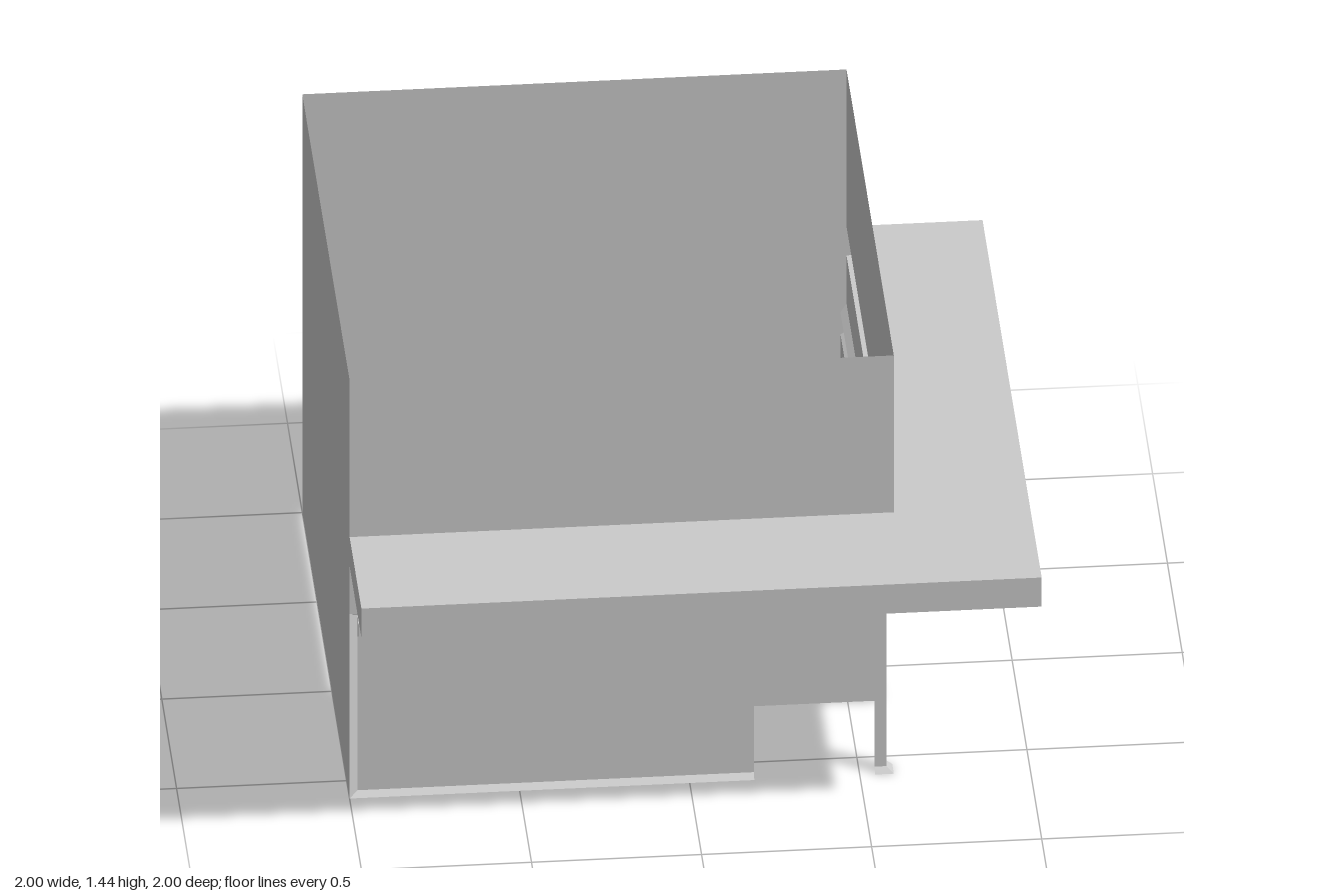
import * as THREE from 'three';

const material = new THREE.MeshStandardMaterial({ color: 0xcccccc, side: THREE.DoubleSide });

// A flat four-cornered sheet; corners are [along, height, outward].
function sheet(group, name, corners, swap) {
  let pts = corners.map(([u, y, w]) => (swap ? [w, y, u] : [u, y, w]));
  if (swap) pts = pts.reverse(); // keep the outside facing out
  const geo = new THREE.BufferGeometry();
  geo.setAttribute('position', new THREE.Float32BufferAttribute(pts.flat(), 3));
  geo.setIndex([0, 1, 2, 0, 2, 3]);
  geo.computeVertexNormals();
  const mesh = new THREE.Mesh(geo, material);
  mesh.name = name;
  group.add(mesh);
}

// One street side of the corner shop; swapping x and z gives the other one.
function buildWing(swap) {
  const wing = new THREE.Group();
  wing.name = swap ? 'leftWing' : 'frontWing';
  const add = (name, ...corners) => sheet(wing, name, corners, swap);
  const upright = (name, u0, u1, y0, y1, w) =>
    add(name, [u0, y0, w], [u1, y0, w], [u1, y1, w], [u0, y1, w]);

  const end = -1, wall = 0.6, inner = 0.58, edge = -0.975;
  const door = 0.19, post = 0.545, head = 0.545, top = 0.62, lintel = 0.635, sill = 0.015;

  // Outer walls, open at the canopy
  upright('upperWall', end, wall, 0.9, 1.44, wall);
  upright('lintelWall', end, wall, lintel, 0.8, wall);
  add('rearWall', [wall, 0, -1], [end, 0, -1], [end, 1.44, -1], [wall, 1.44, -1]);

  // Hollow canopy, mitred at the street corner
  add('canopyTop', [end, 0.9, wall], [end, 0.9, 1], [1, 0.9, 1], [wall, 0.9, wall]);
  add('canopySoffit', [wall, 0.8, wall], [1, 0.8, 1], [end, 0.8, 1], [end, 0.8, wall]);
  upright('canopyFascia', end, 1, 0.8, 0.9, 1);
  add('canopyEnd', [end, 0.8, wall], [end, 0.8, 1], [end, 0.9, 1], [end, 0.9, wall]);

  // Bevelled frame around the shop window
  add('frameTop', [edge, top, inner], [inner, top, inner], [wall, lintel, wall], [end, lintel, wall]);
  add('frameSide', [end, 0, wall], [edge, sill, inner], [edge, top, inner], [end, lintel, wall]);
  add('frameSill', [end, 0, wall], [door, 0, wall], [door, sill, inner], [edge, sill, inner]);
  upright('windowPanel', edge, door, sill, head, inner);

  // Projecting shutter box above the window
  const box = [[head, inner], [0.56, 0.607], [0.602, 0.607], [top, inner]];
  for (let i = 0; i < 3; i++) {
    const [y0, w0] = box[i], [y1, w1] = box[i + 1];
    add('shutterBox', [edge, y0, w0], [door, y0, w0], [door, y1, w1], [edge, y1, w1]);
  }
  add('shutterBoxEnd', ...box.map(([y, w]) => [edge, y, w]));
  add('shutterBoxEnd', ...box.map(([y, w]) => [door, y, w]).reverse());

  // Recessed corner entrance
  upright('entranceHeader', door, inner, head, top, inner);
  add('entranceWall', [door, 0, inner], [door, 0, door], [door, head, door], [door, head, inner]);
  const mid = (post + inner) / 2;
  add('entranceSoffit', [door, head, door], [mid, head, mid], [post, head, inner], [door, head, inner]);

  // Half of the triangular corner post with its flared foot
  upright('cornerPost', post, inner, sill, head, inner);
  add('cornerPostBack', [mid, sill, mid], [post, sill, inner], [post, head, inner], [mid, head, mid]);
  add('postFoot', [post, 0, wall], [wall, 0, wall], [inner, sill, inner], [post, sill, inner]);
  return wing;
}

export function createModel() {
  const model = new THREE.Group();
  model.name = 'cornerShop';
  model.add(buildWing(false), buildWing(true));
  return model;
}
